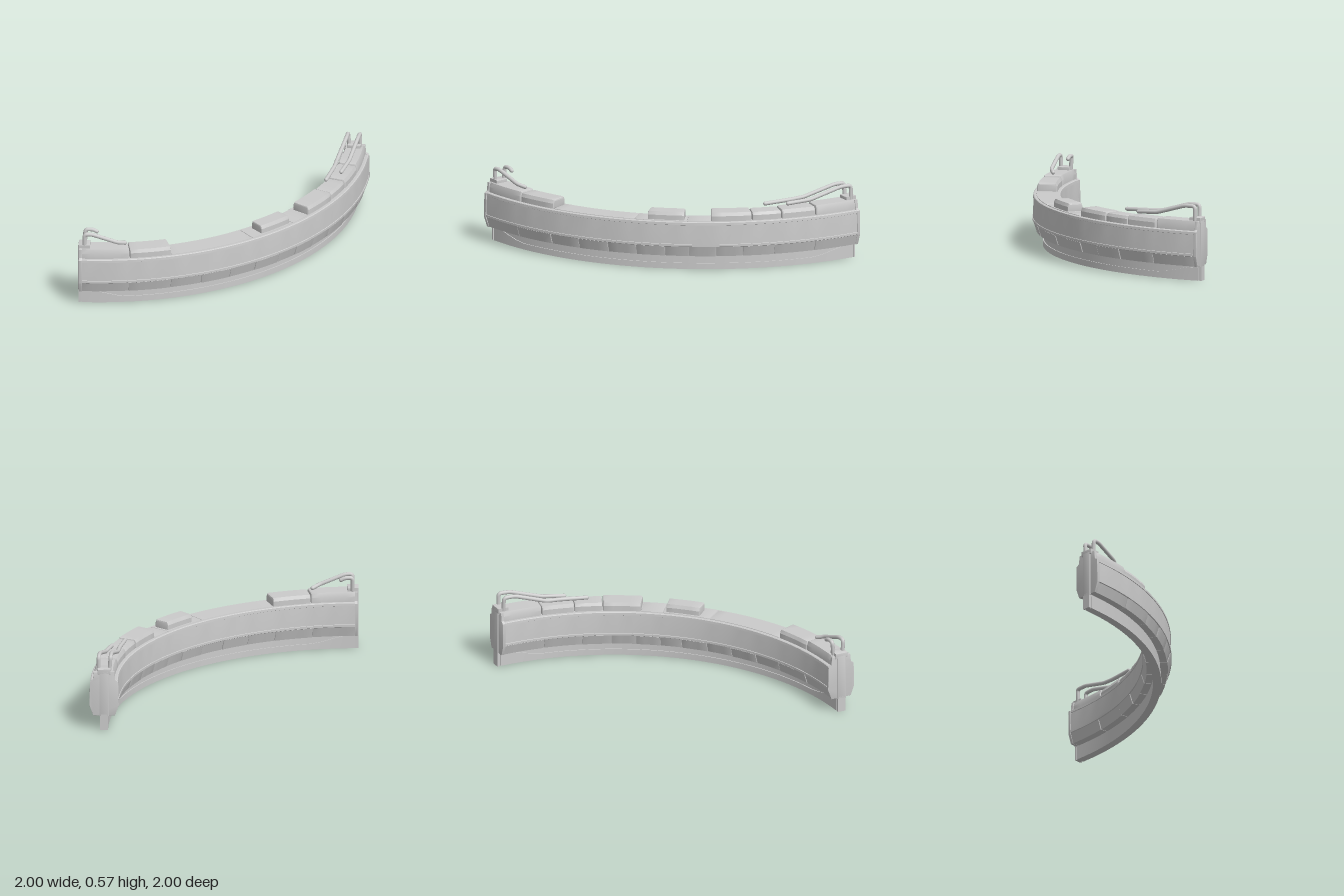
import * as THREE from 'three';
import { toCreasedNormals } from 'three/addons/utils/BufferGeometryUtils.js';

const MID = 1.89;          // centreline radius of the quarter arc
const END = Math.PI / 2;
const grey = new THREE.MeshStandardMaterial({ color: 0xcccccc });

// Extrude a (radius, height) outline and bend it round the corner (-1, -1), from angle a0 to a1.
function arcSweep(name, outline, a0, a1, bevel = 0, rule = null) {
  const shape = new THREE.Shape(outline.map(([r, y]) => new THREE.Vector2(r, y)));
  const length = (a1 - a0) * MID;
  const geo = new THREE.ExtrudeGeometry(shape, {
    depth: length - 2 * bevel,
    steps: Math.max(1, Math.ceil((a1 - a0) / 0.045)),
    bevelEnabled: bevel > 0,
    bevelThickness: bevel, bevelSize: bevel, bevelOffset: -bevel, bevelSegments: 2,
  });
  const p = geo.attributes.position;
  for (let i = 0; i < p.count; i++) {
    const r = p.getX(i), a = a1 - (p.getZ(i) + bevel) / MID;
    const y = rule ? rule(a, p.getY(i)) : p.getY(i);
    p.setXYZ(i, -1 + r * Math.sin(a), y, -1 + r * Math.cos(a));
  }
  const mesh = new THREE.Mesh(toCreasedNormals(geo, 0.4), grey);
  mesh.name = name;
  return mesh;
}

// Symmetrical outline from [halfWidth, height] pairs listed bottom to top.
const mirrored = (pairs) => [
  ...pairs.map(([w, y]) => [MID + w, y]),
  ...[...pairs].reverse().map(([w, y]) => [MID - w, y]),
];

// Bent pipe with short rounded corners and closed ends.
function pipe(name, points, radius = 0.015) {
  const v = points.map((q) => new THREE.Vector3(...q));
  const path = new THREE.CurvePath();
  let from = v[0];
  for (let i = 1; i < v.length - 1; i++) {
    const cut = (b) => v[i].clone().add(b.clone().sub(v[i]).setLength(Math.min(0.025, b.distanceTo(v[i]) * 0.4)));
    const start = cut(v[i - 1]), stop = cut(v[i + 1]);
    path.add(new THREE.LineCurve3(from, start));
    path.add(new THREE.QuadraticBezierCurve3(start, v[i], stop));
    from = stop;
  }
  path.add(new THREE.LineCurve3(from, v[v.length - 1]));
  const group = new THREE.Group();
  group.name = name;
  group.add(new THREE.Mesh(new THREE.TubeGeometry(path, 60, radius, 10), grey));
  for (const end of [v[0], v[v.length - 1]]) {
    const cap = new THREE.Mesh(new THREE.SphereGeometry(radius, 10, 6), grey);
    cap.position.copy(end);
    group.add(cap);
  }
  return group;
}

export function createModel() {
  const model = new THREE.Group();
  model.name = 'curvedBarrier';

  // Foot: thin web with a lip that rises at both ends
  model.add(arcSweep('footWeb', mirrored([[0.023, 0], [0.023, 0.12]]), 0, END));
  const lipHeight = (a) => {
    const d = Math.min(a, END - a);
    return 0.045 + 0.052 * THREE.MathUtils.clamp((0.17 - d) / 0.11, 0, 1);
  };
  model.add(arcSweep('footLip', mirrored([[0.03, 0], [0.03, 0.05]]), 0.014, END - 0.014, 0,
    (a, y) => (y > 0.01 ? lipHeight(a) : y)));

  // Main wall with thin edge rails
  model.add(arcSweep('core', mirrored([[0.072, 0.115], [0.1, 0.2]]), 0.008, END - 0.008));
  model.add(arcSweep('wall', mirrored([
    [0.1, 0.188], [0.107, 0.192], [0.107, 0.208], [0.103, 0.21],
    [0.098, 0.352], [0.102, 0.354], [0.1, 0.372], [0.094, 0.376],
  ]), 0.006, END - 0.006));

  // Row of sloping panels below the wall
  const lower = [0.012, 0.19, 0.35, 0.47, 0.59, 0.7, 0.81, 0.9, 1.0, 1.1, 1.22, 1.38, END - 0.012];
  for (let i = 0; i + 1 < lower.length; i++) {
    const out = i % 2 ? 0.003 : 0;
    model.add(arcSweep('lowerPanel', mirrored([[0.076 + out, 0.112], [0.1 + out, 0.188]]),
      lower[i] + 0.001, lower[i + 1] - 0.001, 0.003));
  }

  // Raised blocks on the deck: [start, end, half width, top]
  const blocks = [
    [0.01, 0.194, 0.075, 0.448], [0.196, 0.354, 0.076, 0.44],
    [0.74, 0.88, 0.062, 0.44], [0.982, 1.135, 0.074, 0.44],
    [1.138, 1.25, 0.07, 0.436], [1.252, 1.386, 0.074, 0.442], [1.389, END - 0.01, 0.075, 0.448],
  ];
  for (const [a0, a1, w, top] of blocks) {
    model.add(arcSweep('deckBlock', mirrored([[w, 0.37], [w, 0.415], [w - 0.012, top]]), a0, a1, 0.01));
  }
  // Low deck plates between the blocks
  for (const [a0, a1] of [[0.356, 0.69], [0.692, 0.89], [0.892, 0.98]]) {
    model.add(arcSweep('deckPlate', mirrored([[0.08, 0.368], [0.078, 0.38]]), a0, a1, 0.002));
  }

  // End plates, central columns and pipe mounts, the same at both ends
  const both = (name, outline, a0, a1, bevel) => {
    model.add(arcSweep(name, outline, a0, a1, bevel));
    model.add(arcSweep(name, outline, END - a1, END - a0, bevel));
  };
  both('endPlate', mirrored([[0.08, 0.11], [0.109, 0.19], [0.104, 0.37], [0.082, 0.385], [0.075, 0.448]]), 0.004, 0.016, 0.002);
  both('endColumn', mirrored([[0.035, 0.105], [0.035, 0.45]]), 0, 0.012, 0.002);
  both('footEnd', mirrored([[0.03, 0], [0.03, 0.108]]), 0, 0.008, 0);
  both('pipeMount', mirrored([[0.048, 0.43], [0.048, 0.472]]), 0, 0.045, 0.004);

  // Pipes at the left-hand end of the plan
  model.add(pipe('shortPipe', [
    [-0.955, 0.45, 0.845], [-0.955, 0.555, 0.835], [-0.9, 0.555, 0.832], [-0.87, 0.54, 0.832],
  ]));
  model.add(pipe('slopingPipe', [
    [-0.955, 0.45, 0.92], [-0.955, 0.555, 0.925], [-0.9, 0.555, 0.92], [-0.71, 0.485, 0.895], [-0.66, 0.468, 0.86],
  ]));
  // Pipes at the other end
  model.add(pipe('innerLongPipe', [
    [0.85, 0.45, -0.955], [0.842, 0.555, -0.955], [0.835, 0.555, -0.87], [0.785, 0.485, -0.63],
    [0.775, 0.48, -0.53], [0.73, 0.47, -0.325],
  ]));
  model.add(pipe('outerLongPipe', [
    [0.93, 0.45, -0.955], [0.93, 0.555, -0.955], [0.92, 0.555, -0.87], [0.875, 0.485, -0.63], [0.83, 0.472, -0.46],
  ]));
  return model;
}
